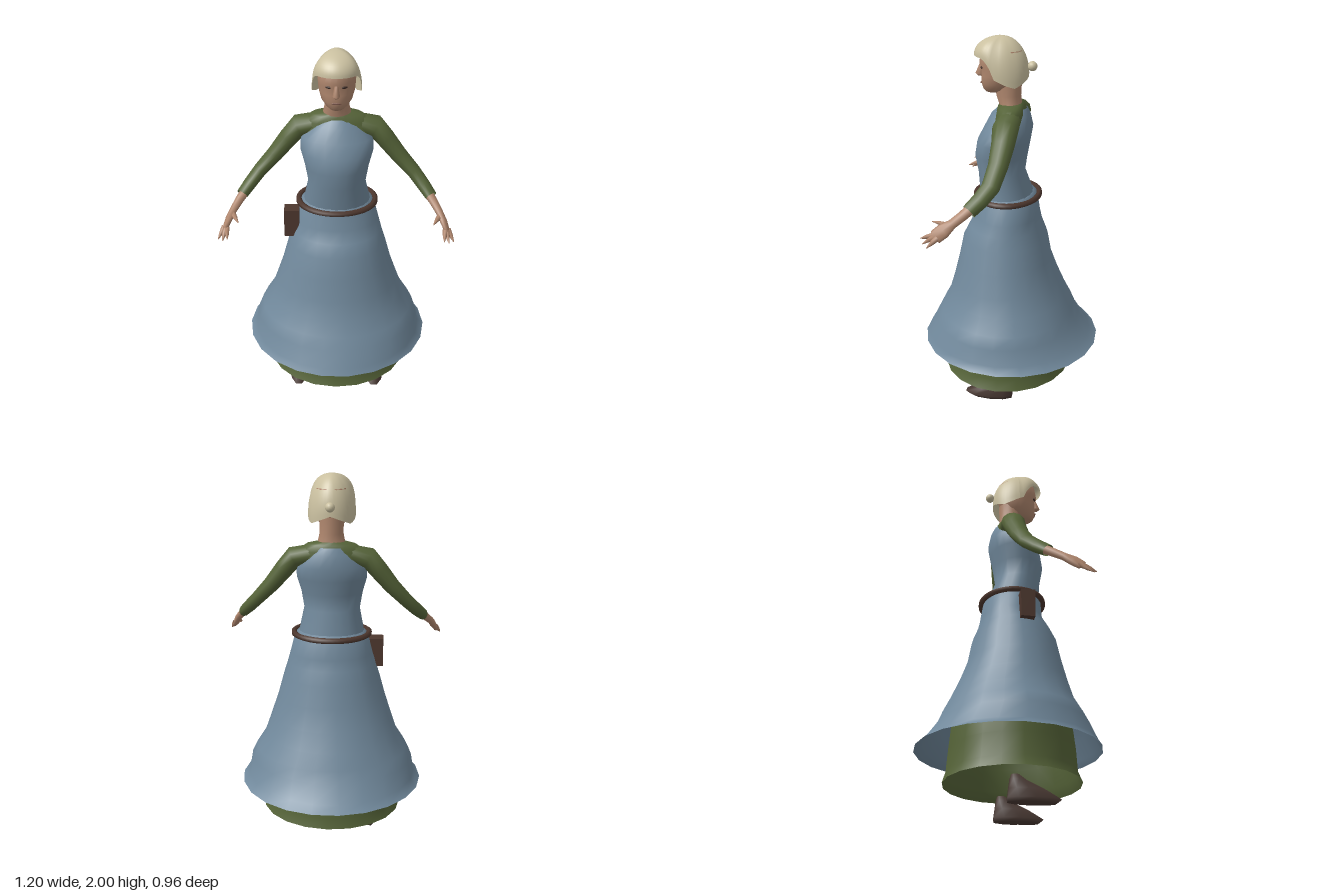
import * as THREE from 'three';

const mat = (name, color, side = THREE.FrontSide) => {
  const m = new THREE.MeshStandardMaterial({ color, side });
  m.name = name;
  return m;
};

// Joins rings of points {c, a, b} (centre and two half-axes) into a skin.
function loft(rings, sides = 16) {
  const pos = [], idx = [];
  rings.forEach(({ c, a, b }, j) => {
    for (let i = 0; i < sides; i++) {
      const t = (i / sides) * Math.PI * 2;
      const p = c.clone().addScaledVector(a, Math.cos(t)).addScaledVector(b, Math.sin(t));
      pos.push(p.x, p.y, p.z);
      if (j === rings.length - 1) continue;
      const p0 = j * sides + i, p1 = j * sides + (i + 1) % sides;
      idx.push(p0, p0 + sides, p1, p1, p0 + sides, p1 + sides);
    }
  });
  const g = new THREE.BufferGeometry();
  g.setAttribute('position', new THREE.Float32BufferAttribute(pos, 3));
  g.setIndex(idx);
  g.computeVertexNormals();
  return g;
}

// Level rings, bottom to top: [y, half width, front z, back z, centre x].
const upright = (rows, sides) => loft(rows.map(([y, rx, zf, zb, x = 0]) => ({
  c: new THREE.Vector3(x, y, (zf + zb) / 2),
  a: new THREE.Vector3(rx, 0, 0),
  b: new THREE.Vector3(0, 0, (zf - zb) / 2),
})), sides);

// Limb along a path: [x, y, z, thickness, depth]; s mirrors it in x.
function limb(rows, s, sides = 10) {
  const pts = rows.map(([x, y, z]) => new THREE.Vector3(s * x, y, z));
  return loft(rows.map((r, i) => {
    const t = pts[Math.min(i + 1, pts.length - 1)].clone().sub(pts[Math.max(i - 1, 0)]).normalize();
    const b = new THREE.Vector3(0, 0, 1).addScaledVector(t, -t.z).normalize();
    const a = t.clone().cross(b);
    return { c: pts[i], a: a.multiplyScalar(r[3]), b: b.multiplyScalar(r[4]) };
  }), sides);
}

// Hair cap: a dome whose lower edge rises over the face.
function hairCap() {
  const edge = [[0, 1.905], [0.9, 1.9], [1.2, 1.87], [1.4, 1.8], [1.85, 1.77], [2.2, 1.755], [3.15, 1.8]];
  const edgeY = (f) => {
    const k = Math.max(1, edge.findIndex(([e]) => e >= f));
    const [f0, y0] = edge[k - 1], [f1, y1] = edge[k];
    return y0 + ((f - f0) / (f1 - f0)) * (y1 - y0);
  };
  const g = new THREE.SphereGeometry(1, 40, 14, 0, Math.PI * 2, 0, Math.PI / 2);
  const p = g.attributes.position;
  for (let i = 0; i < p.count; i++) {
    const x = p.getX(i), y = p.getY(i), z = p.getZ(i);
    const e = edgeY(Math.abs(Math.atan2(x, z)));
    const tuck = 1 - 0.06 * (1 - y);
    p.setXYZ(i, x * 0.132 * tuck, e + (2 - e) * y, 0.047 + z * 0.145 * (z > 0 ? 1 : tuck));
  }
  g.computeVertexNormals();
  return g;
}

export function createModel() {
  const blue = mat('blue cloth', 0x71899c, THREE.DoubleSide);
  const green = mat('green cloth', 0x556338, THREE.DoubleSide);
  const skin = mat('skin', 0xb0876e, THREE.DoubleSide);
  const hair = mat('pale hair', 0xcac0a0, THREE.DoubleSide);
  const leather = mat('belt leather', 0x4d372e);
  const boot = mat('boot leather', 0x4a3a34);
  const dark = mat('eye dark', 0x3c2c26);
  const lip = mat('lips', 0x7c5548);

  const model = new THREE.Group();
  const add = (name, geometry, material, parent = model) => {
    const m = new THREE.Mesh(geometry, material);
    m.name = name;
    parent.add(m);
    return m;
  };

  // Skirts
  add('overskirt', upright([
    [0.315, 0.5, 0.485, -0.485], [0.35, 0.465, 0.465, -0.44], [0.44, 0.45, 0.42, -0.375],
    [0.5, 0.42, 0.39, -0.35], [0.58, 0.37, 0.345, -0.31], [0.68, 0.335, 0.315, -0.265],
    [0.8, 0.295, 0.285, -0.22], [0.92, 0.262, 0.26, -0.198], [0.99, 0.24, 0.225, -0.17],
    [1.05, 0.223, 0.185, -0.155], [1.16, 0.195, 0.178, -0.138], [1.175, 0.165, 0.155, -0.11],
  ], 22), blue);
  add('underskirt', upright([
    [0.145, 0.388, 0.375, -0.335], [0.2, 0.362, 0.352, -0.318], [0.32, 0.355, 0.345, -0.308],
    [0.45, 0.345, 0.33, -0.295], [0.6, 0.32, 0.31, -0.265], [0.8, 0.26, 0.25, -0.19], [1.02, 0.19, 0.16, -0.13],
  ], 20), green);

  // Torso: green underdress beneath a blue bodice
  add('underdress', upright([
    [1.3, 0.13, 0.13, -0.05], [1.48, 0.16, 0.12, -0.08], [1.55, 0.19, 0.09, -0.082],
    [1.61, 0.18, 0.075, -0.078], [1.645, 0.13, 0.068, -0.07], [1.66, 0.06, 0.055, -0.055],
  ], 20), green);
  add('bodice', upright([
    [1.1, 0.17, 0.15, -0.1], [1.17, 0.175, 0.165, -0.115], [1.29, 0.15, 0.175, -0.072],
    [1.38, 0.165, 0.192, -0.085], [1.46, 0.187, 0.178, -0.1], [1.53, 0.188, 0.142, -0.112],
    [1.6, 0.125, 0.105, -0.098], [1.635, 0.085, 0.07, -0.082],
  ], 20), blue);

  // Belt and pouch
  const loop = Array.from({ length: 20 }, (_, i) => {
    const t = (i / 20) * Math.PI * 2;
    return new THREE.Vector3(0.203 * Math.cos(t), 1.158, 0.02 + 0.168 * Math.sin(t));
  });
  add('belt', new THREE.TubeGeometry(new THREE.CatmullRomCurve3(loop, true), 40, 0.016, 6, true), leather);
  const pouch = add('pouch', new THREE.BoxGeometry(0.08, 0.155, 0.075), leather);
  pouch.position.set(-0.24, 1.043, 0.06);

  // Arms, hands and boots
  for (const s of [1, -1]) {
    const side = s > 0 ? 'left' : 'right';
    add(side + 'Sleeve', limb([
      [0.09, 1.595, -0.005, 0.05, 0.06], [0.195, 1.573, -0.003, 0.056, 0.068],
      [0.25, 1.507, 0, 0.05, 0.06], [0.32, 1.42, 0.012, 0.043, 0.052],
      [0.4, 1.335, 0.035, 0.036, 0.048], [0.45, 1.28, 0.08, 0.034, 0.044], [0.489, 1.238, 0.125, 0.03, 0.04],
    ], s, 12), green);
    const hand = new THREE.Group();
    hand.name = side + 'Hand';
    model.add(hand);
    add('forearm', limb([
      [0.46, 1.265, 0.1, 0.026, 0.03], [0.5, 1.222, 0.15, 0.023, 0.027], [0.53, 1.185, 0.2, 0.019, 0.025],
      [0.55, 1.155, 0.24, 0.018, 0.038], [0.565, 1.125, 0.278, 0.014, 0.036], [0.57, 1.115, 0.29, 0.002, 0.004],
    ], s, 8), skin, hand);
    const digits = [
      [0.535, 1.18, 0.215, 0.492, 1.175, 0.31], [0.555, 1.13, 0.285, 0.547, 1.105, 0.358],
      [0.562, 1.13, 0.275, 0.573, 1.087, 0.342], [0.572, 1.125, 0.265, 0.6, 1.078, 0.315],
    ];
    digits.forEach(([x0, y0, z0, x1, y1, z1], i) => add(i ? 'finger' : 'thumb', limb([
      [x0, y0, z0, 0.014, 0.016],
      [(x0 + x1) / 2, (y0 + y1) / 2, (z0 + z1) / 2, 0.011, 0.012],
      [x1, y1, z1, 0.002, 0.002],
    ], s, 6), skin, hand));
    const x = s * 0.218;
    add(side + 'Boot', upright([
      [0, 0.002, 0.09, 0.08, x], [0.005, 0.045, 0.2, -0.045, x], [0.025, 0.055, 0.228, -0.048, x],
      [0.07, 0.044, 0.15, -0.04, x], [0.115, 0.032, 0.055, -0.032, x],
      [0.14, 0.024, 0.02, -0.024, x], [0.14, 0.001, 0, -0.002, x],
    ], 10), boot);
  }

  // Head
  const head = new THREE.Group();
  head.name = 'head';
  model.add(head);
  add('neck', upright([
    [1.6, 0.08, 0.06, -0.06], [1.655, 0.072, 0.064, -0.055], [1.7, 0.062, 0.08, -0.05], [1.79, 0.065, 0.09, -0.055],
  ]), skin, head);
  add('face', upright([
    [1.712, 0.004, 0.1, 0.09], [1.714, 0.035, 0.132, 0.05], [1.73, 0.056, 0.147, 0], [1.76, 0.078, 0.156, -0.03],
    [1.8, 0.09, 0.157, -0.05], [1.84, 0.094, 0.154, -0.06], [1.865, 0.095, 0.166, -0.06],
    [1.93, 0.09, 0.155, -0.06], [1.965, 0.05, 0.1, -0.02], [1.97, 0.002, 0.05, 0.04],
  ], 20), skin, head);
  add('nose', upright([
    [1.79, 0.003, 0.16, 0.14], [1.794, 0.014, 0.178, 0.14], [1.803, 0.018, 0.188, 0.14], [1.855, 0.009, 0.165, 0.14],
  ], 8), skin, head);
  const spot = (name, material, x, y, z, w, h, turn) => {
    const m = add(name, new THREE.SphereGeometry(1, 12, 8), material, head);
    m.position.set(x, y, z);
    m.scale.set(w, h, 0.0045);
    m.rotation.y = turn;
  };
  for (const s of [1, -1]) spot('eye', dark, s * 0.04, 1.842, 0.147, 0.015, 0.006, s * 0.45);
  spot('mouth', lip, 0, 1.76, 0.155, 0.025, 0.005, 0);

  // Hair and bun
  add('hair', hairCap(), hair, head);
  add('bun', new THREE.SphereGeometry(0.025, 14, 10), hair, head).position.set(0, 1.85, -0.107);

  return model;
}
